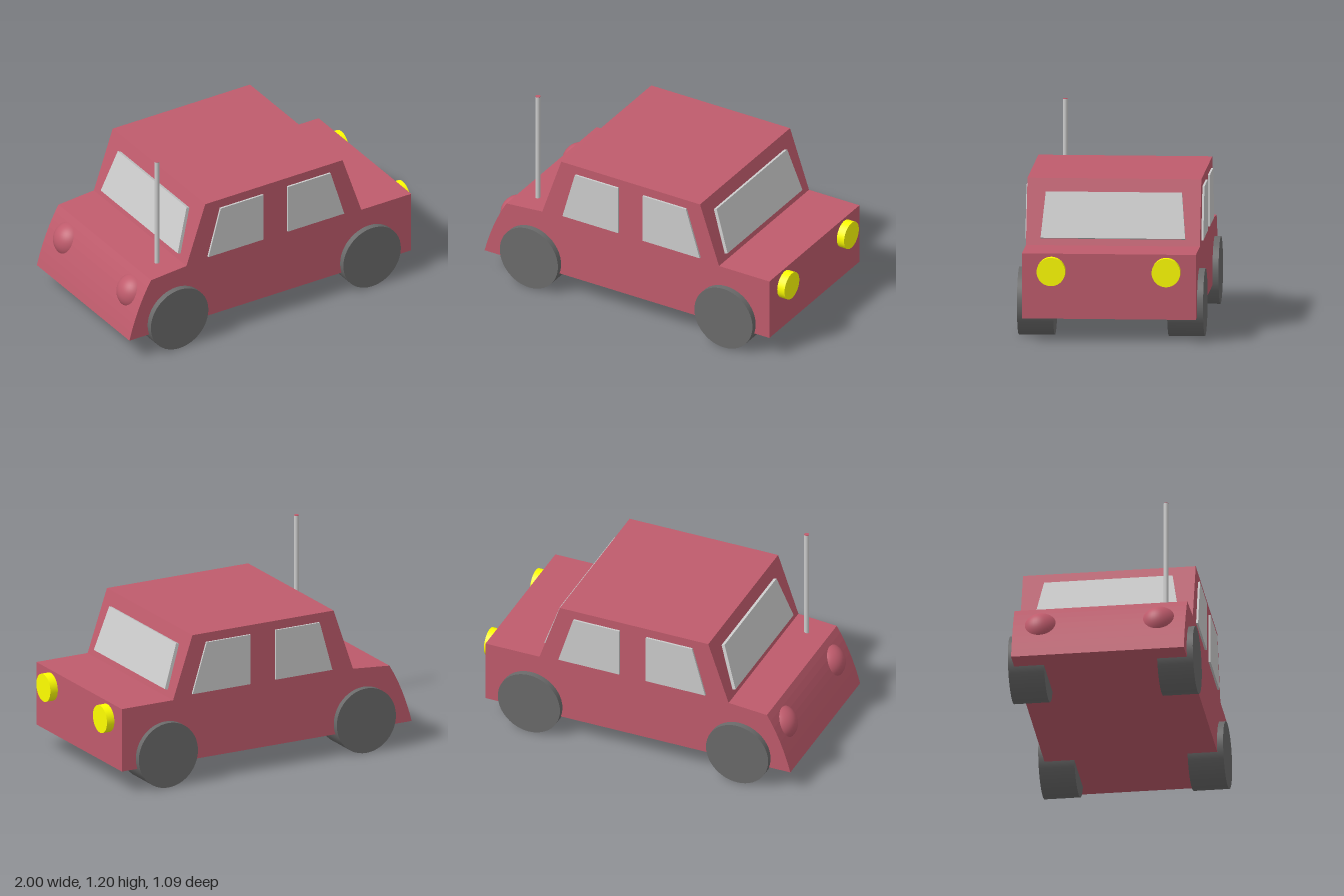
import * as THREE from 'three';

const material = (color) => new THREE.MeshStandardMaterial({ color });
const red = material(0xbf5b6c);
const grey = material(0xcccccc);
const dark = material(0x6a6a6a);
const yellow = material(0xffff00);

export function createModel() {
  const car = new THREE.Group();
  car.name = 'car';

  const add = (name, geometry, mat, x = 0, y = 0, z = 0) => {
    const mesh = new THREE.Mesh(geometry, mat);
    mesh.name = name;
    mesh.position.set(x, y, z);
    car.add(mesh);
    return mesh;
  };
  const polygon = (points) => new THREE.Shape(points.map(([x, y]) => new THREE.Vector2(x, y)));
  const slab = (shape, depth) =>
    new THREE.ExtrudeGeometry(shape, { depth, bevelEnabled: false, curveSegments: 8 });

  // Body: side profile with a gently bowed tail, extruded across the width
  const halfWidth = 0.511;
  const profile = polygon([
    [-1, 0.135], [0.95, 0.135], [0.95, 0.52], [0.605, 0.52],
    [0.475, 0.9], [-0.475, 0.9], [-0.605, 0.52], [-0.85, 0.5],
  ]);
  profile.quadraticCurveTo(-0.945, 0.345, -1, 0.135);
  add('body', slab(profile, halfWidth * 2), red, 0, 0, -halfWidth);

  // Side windows: thin panes standing slightly proud of each side
  const rearPane = polygon([[-0.46, 0.54], [-0.08, 0.54], [-0.08, 0.845], [-0.375, 0.845]]);
  const frontPane = polygon([[0.09, 0.54], [0.48, 0.54], [0.385, 0.845], [0.09, 0.845]]);
  for (const side of [1, -1]) {
    const z = side > 0 ? halfWidth - 0.008 : -halfWidth - 0.012;
    add('rearSideWindow', slab(rearPane, 0.02), grey, 0, 0, z);
    add('frontSideWindow', slab(frontPane, 0.02), grey, 0, 0, z);
  }

  // Windshield and rear window: trapezoids lying on the sloped cabin ends
  const lean = Math.atan2(0.13, 0.38);
  const addScreen = (name, end, bottomHalf, topHalf) => {
    const pane = polygon([
      [-bottomHalf, 0], [bottomHalf, 0], [topHalf, 0.277], [-topHalf, 0.277],
    ]);
    const mesh = add(name, slab(pane, 0.021), grey, end * 0.592, 0.558, 0);
    mesh.rotation.set(-lean, end * Math.PI / 2, 0, 'YXZ');
  };
  addScreen('windshield', 1, 0.425, 0.4);
  addScreen('rearWindow', -1, 0.425, 0.38);

  // Wheels, headlights and rounded tail lights, mirrored left and right
  const wheel = new THREE.CylinderGeometry(0.199, 0.199, 0.212, 48).rotateX(Math.PI / 2);
  const headlight = new THREE.CylinderGeometry(0.084, 0.084, 0.07, 40).rotateZ(Math.PI / 2);
  const tailLight = new THREE.SphereGeometry(0.11, 40, 24);
  for (const side of [1, -1]) {
    add('rearWheel', wheel, dark, -0.675, 0.199, side * 0.441);
    add('frontWheel', wheel, dark, 0.657, 0.199, side * 0.441);
    add('headlight', headlight, yellow, 0.965, 0.418, side * 0.338);
    add('tailLight', tailLight, red, -0.86, 0.35, side * 0.35);
  }

  // Antenna with a red tip
  add('antenna', new THREE.CylinderGeometry(0.015, 0.015, 0.718, 20), grey, -0.72, 0.839, 0.369);
  add('antennaTip', new THREE.CylinderGeometry(0.015, 0.015, 0.002, 20), red, -0.72, 1.199, 0.369);

  return car;
}
